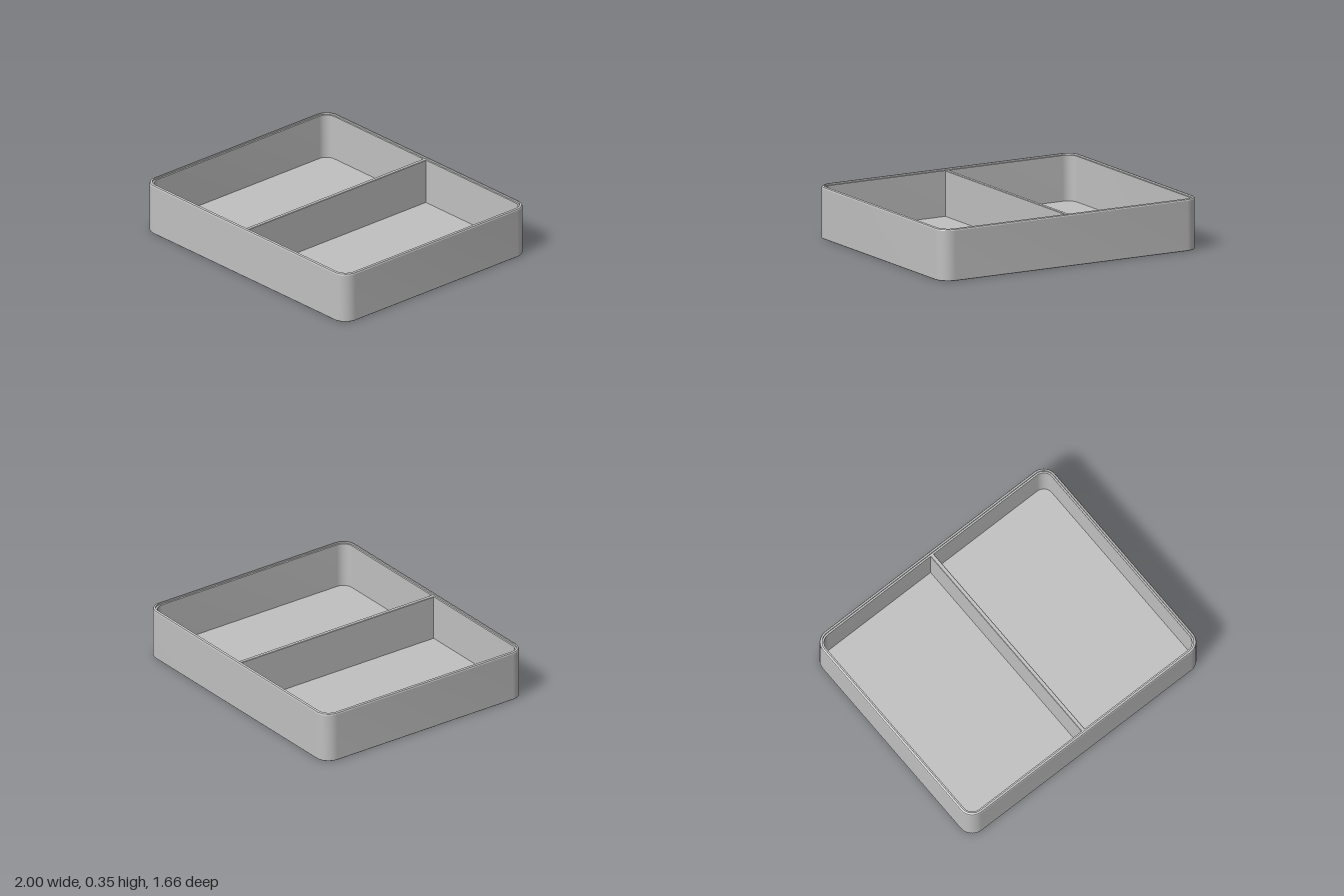
import * as THREE from 'three';
import { toCreasedNormals } from 'three/addons/utils/BufferGeometryUtils.js';

const HALF_X = 1, HALF_Z = 0.83, HEIGHT = 0.355, CORNER = 0.1, FLOOR = 0.03, WALL = 0.03;

// Rounded-rectangle outline, moved inwards by inset
function outline(inset, y, steps = 12) {
  const r = CORNER - inset, points = [];
  const corners = [[1, 1], [-1, 1], [-1, -1], [1, -1]];
  corners.forEach(([sx, sz], q) => {
    for (let i = 0; i <= steps; i++) {
      const a = (q + i / steps) * Math.PI / 2;
      points.push(new THREE.Vector3(
        sx * (HALF_X - CORNER) + r * Math.cos(a), y,
        sz * (HALF_Z - CORNER) + r * Math.sin(a)));
    }
  });
  return points;
}

// Skin a list of [inset, y] outlines, closed at both ends by flat caps
function skin(profile) {
  const loops = profile.map(([inset, y]) => outline(inset, y));
  const n = loops[0].length, pos = [];
  const tri = (...pts) => pts.forEach((p) => pos.push(p.x, p.y, p.z));
  const first = loops[0], last = loops[loops.length - 1];
  const start = new THREE.Vector3(0, first[0].y, 0), end = new THREE.Vector3(0, last[0].y, 0);
  for (let j = 0; j < n; j++) {
    const k = (j + 1) % n;
    tri(start, first[j], first[k]);
    tri(end, last[k], last[j]);
    for (let i = 0; i < loops.length - 1; i++) {
      const a = loops[i][j], b = loops[i][k], c = loops[i + 1][k], d = loops[i + 1][j];
      tri(a, d, c);
      tri(a, c, b);
    }
  }
  const geometry = new THREE.BufferGeometry();
  geometry.setAttribute('position', new THREE.Float32BufferAttribute(pos, 3));
  return toCreasedNormals(geometry, 0.4);
}

export function createModel() {
  const group = new THREE.Group();
  const grey = new THREE.MeshStandardMaterial({ color: 0xc0c0c0 });
  grey.name = 'grey plastic';

  // Tray: outer wall, eased rim with a stepped inner ledge, inner wall and floor
  const tray = new THREE.Mesh(skin([
    [0.003, 0], [0, 0.003],
    [0, HEIGHT - 0.012], [0.004, HEIGHT - 0.004], [0.012, HEIGHT],
    [0.018, HEIGHT], [0.018, HEIGHT - 0.012], [WALL, HEIGHT - 0.012],
    [WALL, FLOOR],
  ]), grey);
  tray.name = 'tray';
  group.add(tray);

  // Divider: thin upright wall with eased top edges, running front to back
  const w = 0.014, top = HEIGHT - 0.012, e = 0.003, length = 2 * (HALF_Z - WALL) + 0.004;
  const section = new THREE.Shape([
    [-w, FLOOR - 0.005], [w, FLOOR - 0.005], [w, top - e],
    [w - e, top], [-w + e, top], [-w, top - e],
  ].map(([x, y]) => new THREE.Vector2(x, y)));
  const divider = new THREE.Mesh(
    new THREE.ExtrudeGeometry(section, { depth: length, bevelEnabled: false }), grey);
  divider.name = 'divider';
  divider.position.set(-0.003, 0, -length / 2);
  group.add(divider);

  return group;
}
